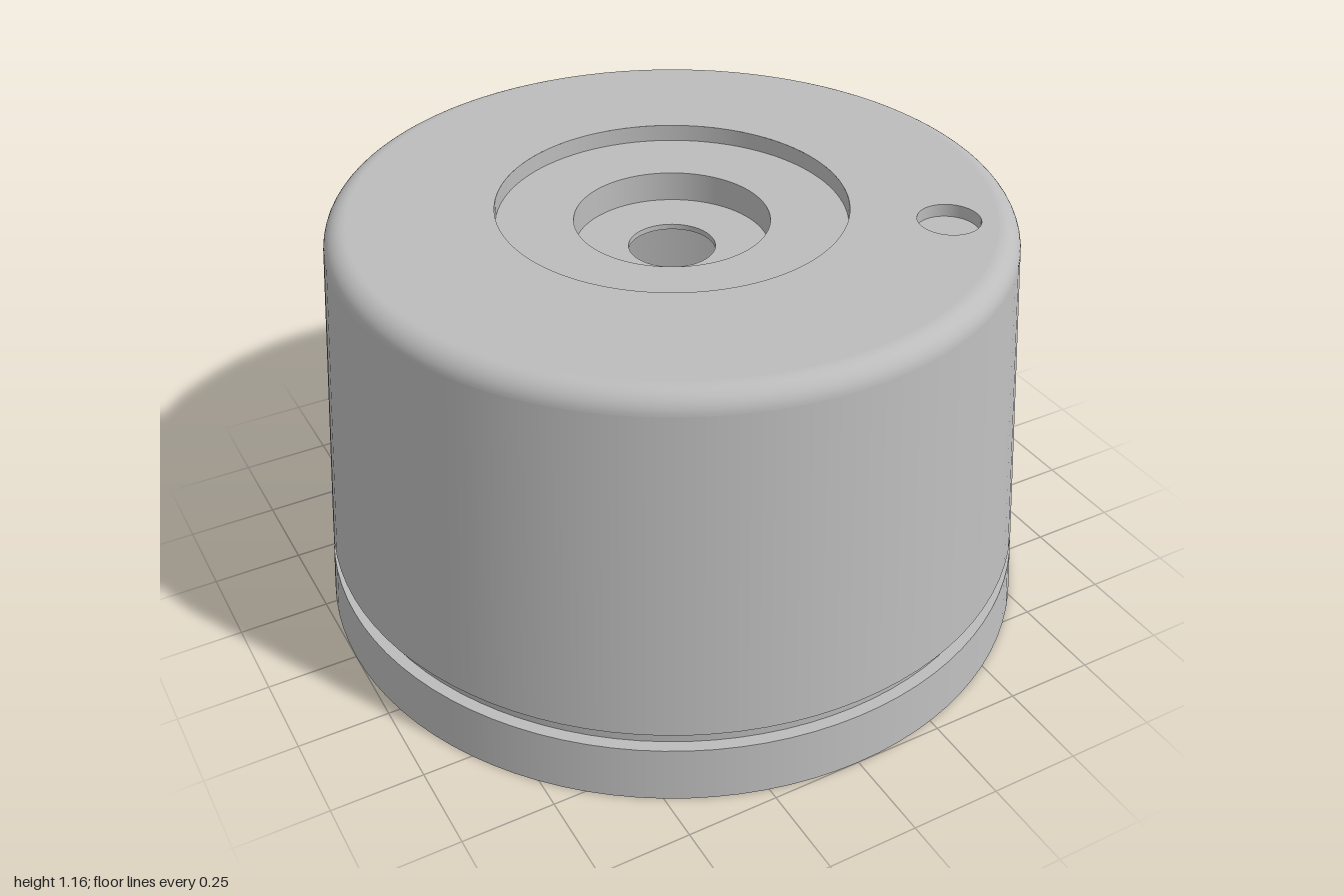
import * as THREE from 'three';
import { mergeGeometries } from 'three/addons/utils/BufferGeometryUtils.js';

const SEG = 96, TOP = 1.165;
const SLOPE = 0.0813;                       // draft of the tapered walls
const outer = (y) => 1 - SLOPE * y;
const inner = (y) => 0.91 - SLOPE * y;

export function createModel() {
  const group = new THREE.Group();
  const grey = new THREE.MeshStandardMaterial({ color: 0xbcbcbc });
  grey.name = 'plain grey';

  const add = (name, geometry) => {
    const mesh = new THREE.Mesh(geometry, grey);
    mesh.name = name;
    group.add(mesh);
    return mesh;
  };

  // Revolves each profile segment separately so its edges stay sharp
  const sharpLathe = (points) => {
    const parts = [];
    for (let i = 0; i < points.length - 1; i++) {
      const pair = [points[i], points[i + 1]].map(([r, y]) => new THREE.Vector2(r, y));
      parts.push(new THREE.LatheGeometry(pair, SEG));
    }
    return mergeGeometries(parts);
  };

  // Bottom rim and the flared band below the groove
  add('baseBand', sharpLathe([[inner(0), 0], [1, 0], [outer(0.155), 0.155]]));

  // Square groove around the body
  add('groove', sharpLathe([
    [outer(0.155), 0.155], [0.955, 0.155], [0.955, 0.205], [outer(0.205), 0.205],
  ]));

  // Tapered outer wall
  const fillet = 0.06, flat = 0.85, tilt = Math.atan(SLOPE);
  const arc = (a) => [flat + fillet * Math.cos(a), TOP - fillet + fillet * Math.sin(a)];
  add('outerWall', sharpLathe([[outer(0.205), 0.205], arc(tilt)]));

  // Rounded top edge
  const edge = [];
  for (let i = 0; i <= 12; i++) {
    edge.push(new THREE.Vector2(...arc(tilt + (Math.PI / 2 - tilt) * i / 12)));
  }
  add('roundedEdge', new THREE.LatheGeometry(edge, SEG));

  // Flat top with openings for the recess and the small blind hole
  const recess = 0.466, pin = { x: 0.58, z: 0.43, r: 0.083, depth: 0.035 };
  const face = new THREE.Shape().absarc(0, 0, flat, 0, Math.PI * 2);
  face.holes.push(
    new THREE.Path().absarc(0, 0, recess, 0, Math.PI * 2, true),
    new THREE.Path().absarc(pin.x, -pin.z, pin.r, 0, Math.PI * 2, true),
  );
  const topFace = new THREE.ShapeGeometry(face, SEG).rotateX(-Math.PI / 2);
  add('topFace', topFace.translate(0, TOP, 0));

  // Stepped recess leading to the through hole
  const step1 = TOP - 0.047, step2 = TOP - 0.13, ceiling = 1.02;
  add('steppedRecess', sharpLathe([
    [recess, TOP], [recess, step1], [0.26, step1], [0.26, step2],
    [0.116, step2], [0.116, ceiling],
  ]));

  // Hollow inside: ceiling and tapered inner wall
  add('innerCavity', sharpLathe([
    [0.116, ceiling], [inner(ceiling), ceiling], [inner(0), 0],
  ]));

  // Small blind hole near the edge
  add('blindHole', sharpLathe([
    [pin.r, 0], [pin.r, -pin.depth], [0, -pin.depth],
  ])).position.set(pin.x, TOP, pin.z);

  return group;
}
